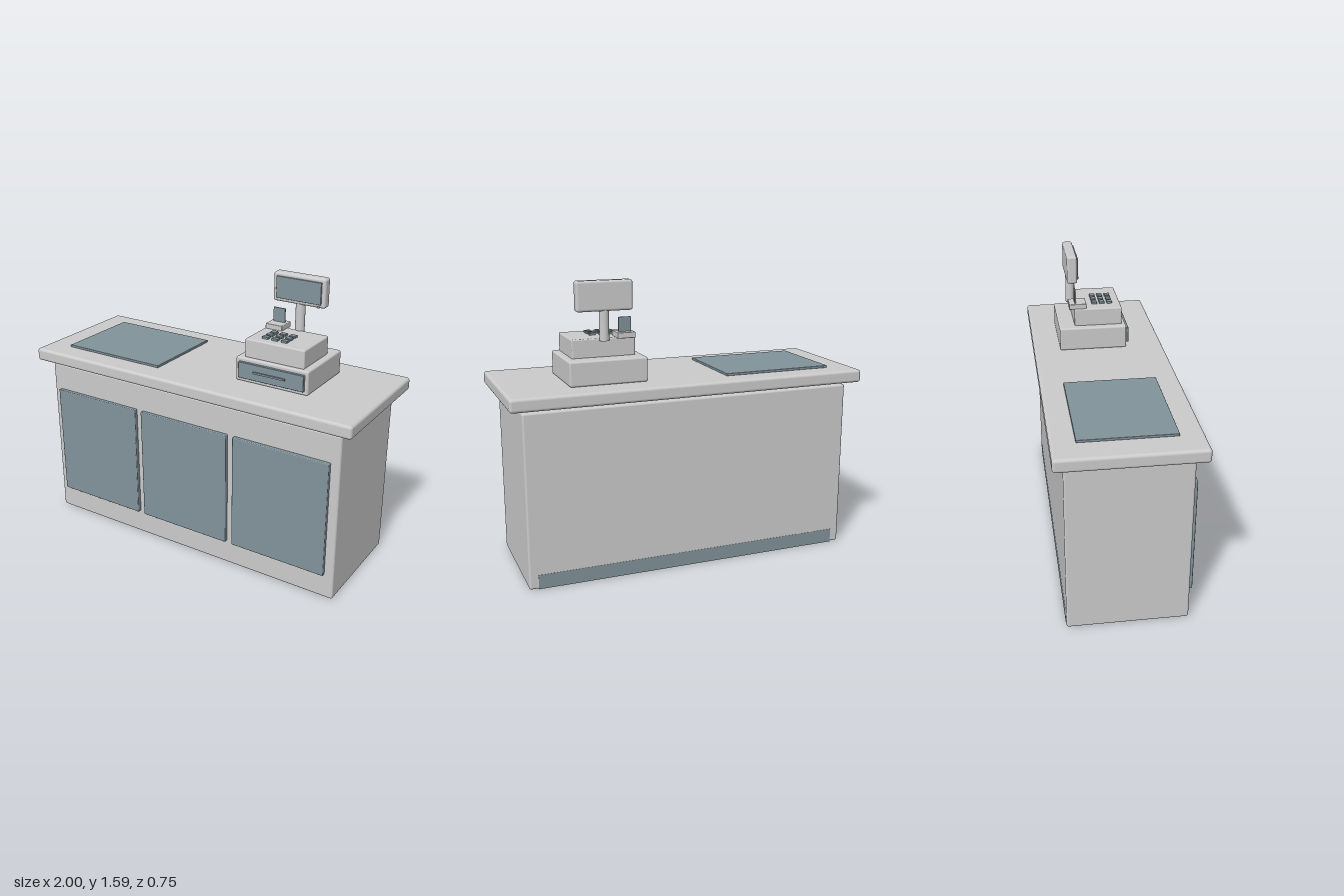
import * as THREE from 'three';
import { RoundedBoxGeometry } from 'three/addons/geometries/RoundedBoxGeometry.js';

const grey = new THREE.MeshStandardMaterial({ color: 0xcccccc });
const slate = new THREE.MeshStandardMaterial({ color: 0x82939b });

export function createModel() {
  const model = new THREE.Group();
  model.name = 'checkoutCounter';

  // Box given by its extents on each axis; radius > 0 rounds the edges
  function box(parent, name, [x0, x1], [y0, y1], [z0, z1], material, radius = 0) {
    const size = [x1 - x0, y1 - y0, z1 - z0];
    const geometry = radius > 0
      ? new RoundedBoxGeometry(...size, 3, radius)
      : new THREE.BoxGeometry(...size);
    const mesh = new THREE.Mesh(geometry, material);
    mesh.position.set((x0 + x1) / 2, (y0 + y1) / 2, (z0 + z1) / 2);
    mesh.name = name;
    parent.add(mesh);
    return mesh;
  }

  // Counter: cabinet, recessed plinth, worktop floating just above
  const counter = new THREE.Group();
  counter.name = 'counter';
  model.add(counter);
  box(counter, 'cabinet', [-0.93, 0.93], [0.001, 0.957], [-0.32, 0.32], grey, 0.012);
  box(counter, 'plinth', [-0.88, 0.88], [0, 0.08], [-0.321, 0.29], slate);
  box(counter, 'worktop', [-1, 1], [0.975, 1.047], [-0.375, 0.375], grey, 0.016);
  for (const x of [-0.6, 0, 0.6]) {
    box(counter, 'frontPanel', [x - 0.28, x + 0.28], [0.145, 0.802], [0.319, 0.345], slate, 0.005);
  }
  box(counter, 'counterMat', [-0.85, -0.22], [1.046, 1.06], [-0.25, 0.25], slate, 0.003);

  // Cash register body and drawer
  const register = new THREE.Group();
  register.name = 'cashRegister';
  model.add(register);
  box(register, 'registerBase', [0.228, 0.655], [1.047, 1.18], [-0.225, 0.16], grey, 0.01);
  box(register, 'registerTop', [0.268, 0.618], [1.175, 1.28], [-0.135, 0.138], grey, 0.008);
  box(register, 'drawerFront', [0.25, 0.637], [1.07, 1.16], [0.158, 0.176], slate, 0.004);
  box(register, 'drawerHandle', [0.345, 0.532], [1.112, 1.122], [0.175, 0.185], slate);

  // Keypad
  for (let row = 0; row < 3; row++) {
    for (let col = 0; col < 3; col++) {
      const x = 0.36 + col * 0.056;
      const z = -0.012 + row * 0.044;
      box(register, 'key', [x - 0.018, x + 0.018], [1.276, 1.292], [z - 0.015, z + 0.015], slate, 0.003);
    }
  }

  // Receipt printer and paper
  box(register, 'receiptPrinter', [0.275, 0.375], [1.276, 1.308], [-0.165, -0.065], grey, 0.004);
  box(register, 'receiptPaper', [0.29, 0.36], [1.3, 1.386], [-0.132, -0.125], slate);

  // Display on a post
  const post = new THREE.Mesh(new THREE.CylinderGeometry(0.026, 0.026, 0.17, 24), grey);
  post.position.set(0.442, 1.353, -0.144);
  post.name = 'displayPost';
  register.add(post);
  box(register, 'displayHousing', [0.289, 0.596], [1.425, 1.585], [-0.172, -0.115], grey, 0.014);
  box(register, 'displayScreen', [0.31, 0.575], [1.445, 1.565], [-0.118, -0.107], slate, 0.003);
  const button = new THREE.Mesh(new THREE.SphereGeometry(0.007, 12, 8), slate);
  button.position.set(0.562, 1.433, -0.11);
  button.name = 'displayButton';
  register.add(button);

  return model;
}
